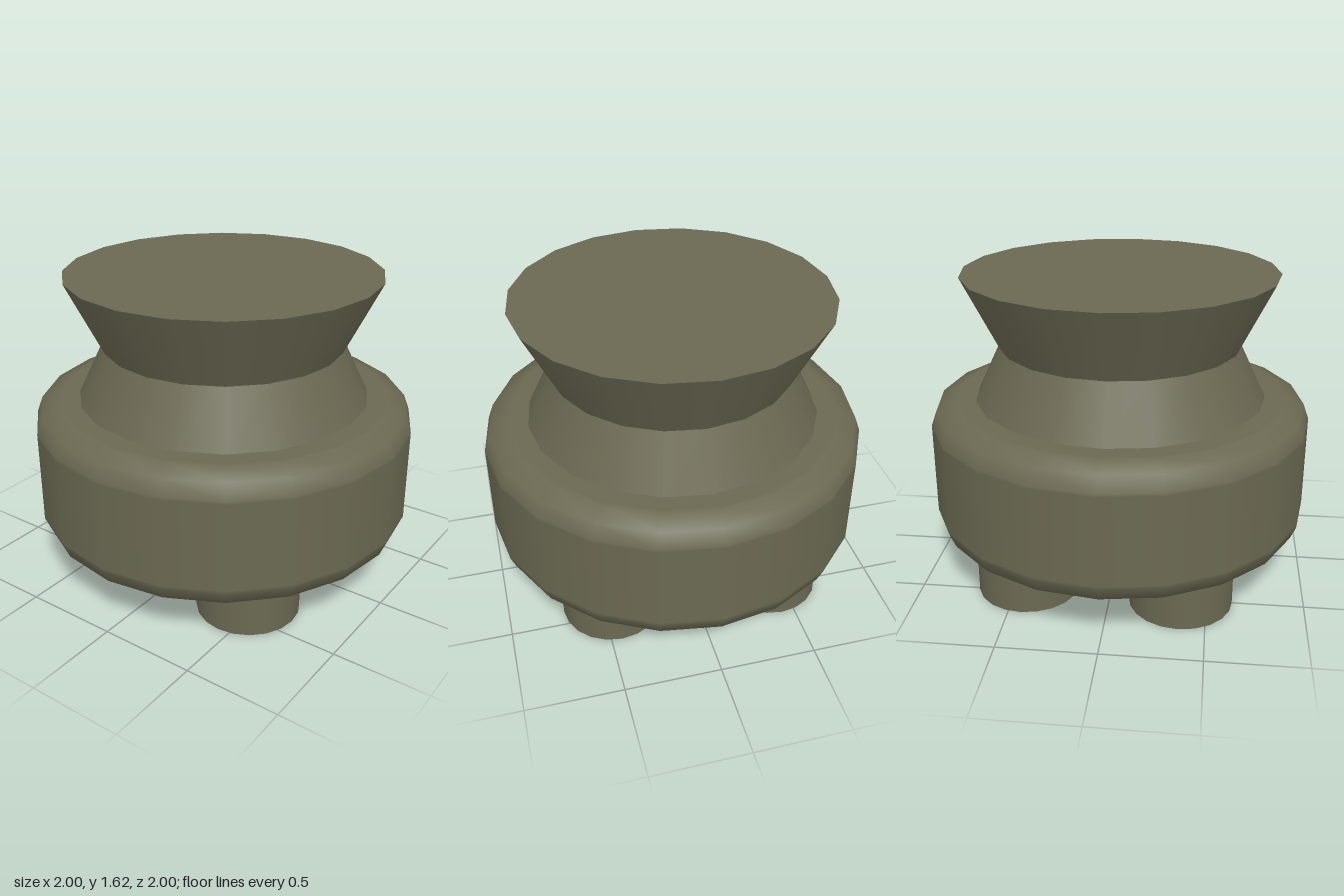
import * as THREE from 'three';

const SIDES = 20;
const material = new THREE.MeshStandardMaterial({ color: 0x6b6952 });

function add(parent, name, geometry, x = 0, y = 0, z = 0) {
  const mesh = new THREE.Mesh(geometry, material);
  mesh.name = name;
  mesh.position.set(x, y, z);
  parent.add(mesh);
  return mesh;
}

// Upright cylinder or cone section between two heights
function section(rTop, rBottom, y0, y1) {
  return new THREE.CylinderGeometry(rTop, rBottom, y1 - y0, SIDES).translate(0, (y0 + y1) / 2, 0);
}

export function createModel() {
  const model = new THREE.Group();
  model.name = 'pedestal';

  // Drum body with softly bevelled rims; close point pairs keep the flats flat
  const profile = [
    [0, 0.255], [0.87, 0.255], [0.89, 0.255], [0.97, 0.285], [1, 0.355], [1, 0.37],
    [1, 0.83], [1, 0.845], [0.97, 0.925], [0.88, 0.96], [0.86, 0.96], [0, 0.96],
  ].map(([r, y]) => new THREE.Vector2(r, y));
  add(model, 'body', new THREE.LatheGeometry(profile, SIDES));

  // Waisted neck and flared top
  add(model, 'neck', section(0.63, 0.77, 0.95, 1.24));
  add(model, 'flaredTop', section(0.815, 0.63, 1.24, 1.615));

  // Four stubby feet, set slightly unevenly
  const feet = new THREE.Group();
  feet.name = 'feet';
  model.add(feet);
  const places = {
    frontLeftFoot: [0.407, 0.443],
    frontRightFoot: [-0.398, 0.437],
    backLeftFoot: [0.438, -0.432],
    backRightFoot: [-0.367, -0.493],
  };
  for (const [name, [x, z]] of Object.entries(places)) {
    add(feet, name, section(0.267, 0.267, 0, 0.27), x, 0, z);
  }

  return model;
}
